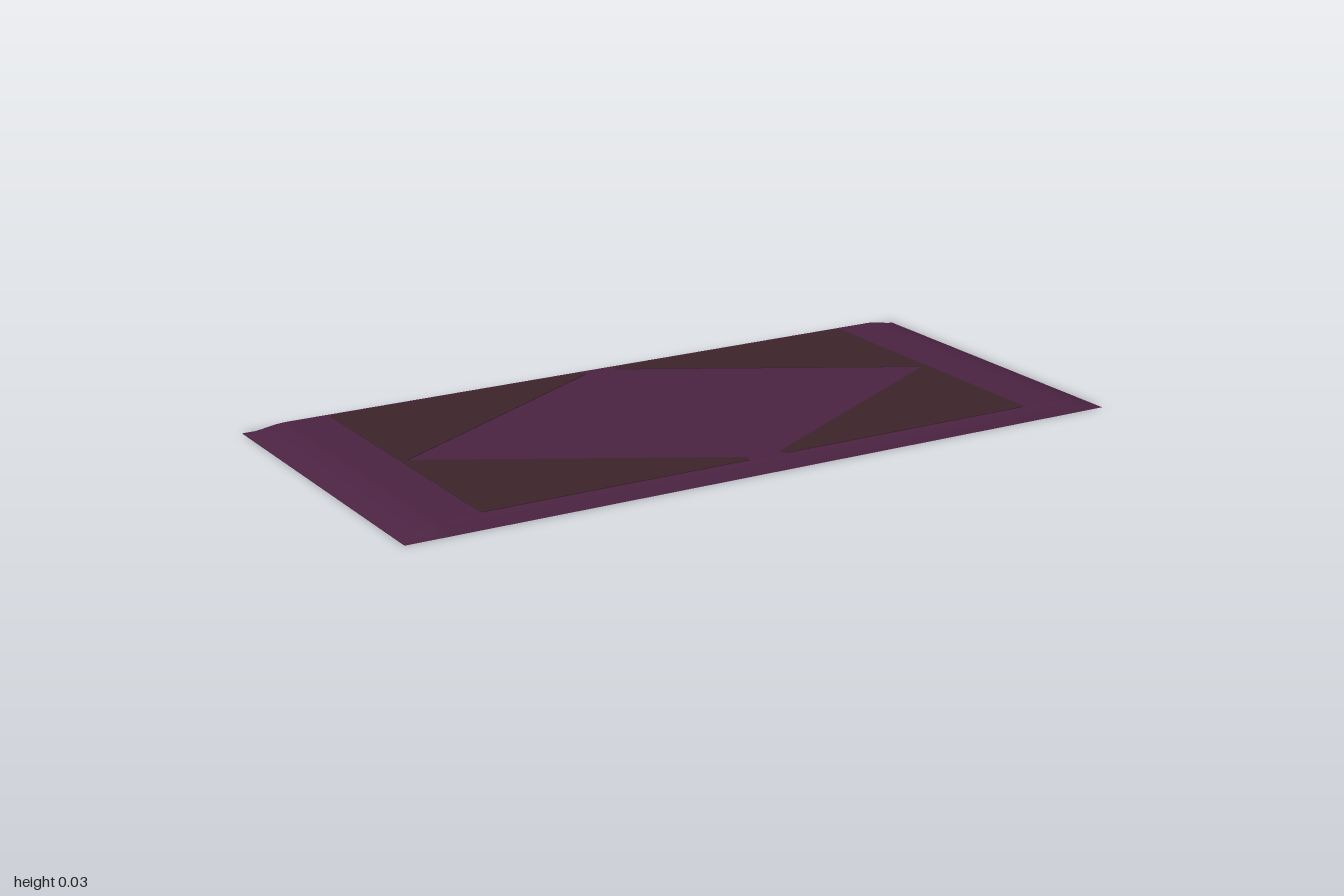
import * as THREE from 'three';

const HALF_X = 1, HALF_Z = 0.473, TOP = 0.024;

// Height factor (0..1) against distance from the hem
function drape(d, width) {
  const t = Math.min(1, Math.max(0, d / width));
  return Math.sin(t * Math.PI / 2);
}

// Grid lines for one axis: close together in the turned-down hem, sparse in the flat middle
function gridLines(half, width) {
  const steps = 8, lines = [];
  for (let i = 0; i <= steps; i++) lines.push(-half + width * i / steps);
  return [...lines, 0, ...lines.map((v) => -v).reverse()];
}

// Thin cloth whose hems curve down to the ground
function clothGeometry() {
  const hemX = 0.11, hemZ = 0.045;
  const xs = gridLines(HALF_X, hemX), zs = gridLines(HALF_Z, hemZ);
  const geo = new THREE.PlaneGeometry(1, 1, xs.length - 1, zs.length - 1);
  const pos = geo.attributes.position;
  for (let j = 0; j < zs.length; j++) {
    for (let i = 0; i < xs.length; i++) {
      const y = TOP * drape(HALF_X - Math.abs(xs[i]), hemX) * drape(HALF_Z - Math.abs(zs[j]), hemZ);
      pos.setXYZ(j * xs.length + i, xs[i], y, zs[j]);
    }
  }
  geo.computeVertexNormals();
  return geo;
}

// Corner panel with a slanted inner edge, showing on both faces of the cloth
function panelGeometry(sx, sz) {
  const outline = [
    [0.045, 0.405], [0.055, 0.425], [0.775, 0.425], [0.783, 0.417],
    [0.783, 0], [0.765, 0],
  ].map(([x, z]) => new THREE.Vector2(x * sx, z * sz));
  const geo = new THREE.ExtrudeGeometry(new THREE.Shape(outline), { depth: 0.003, bevelEnabled: false });
  geo.rotateX(Math.PI / 2);
  geo.translate(0, TOP + 0.0015, 0);
  return geo;
}

export function createModel() {
  const rug = new THREE.Group();
  rug.name = 'rug';
  const plum = new THREE.MeshStandardMaterial({ color: 0x4b2342, side: THREE.DoubleSide });
  plum.name = 'plum';
  const brown = new THREE.MeshStandardMaterial({ color: 0x3c242b });
  brown.name = 'dark brown';

  const cloth = new THREE.Mesh(clothGeometry(), plum);
  cloth.name = 'cloth';
  rug.add(cloth);

  // Four panels leave a diamond in the middle
  for (const sx of [-1, 1]) {
    for (const sz of [-1, 1]) {
      const panel = new THREE.Mesh(panelGeometry(sx, sz), brown);
      panel.name = `${sz > 0 ? 'front' : 'back'}${sx > 0 ? 'Left' : 'Right'}Panel`;
      rug.add(panel);
    }
  }
  return rug;
}
